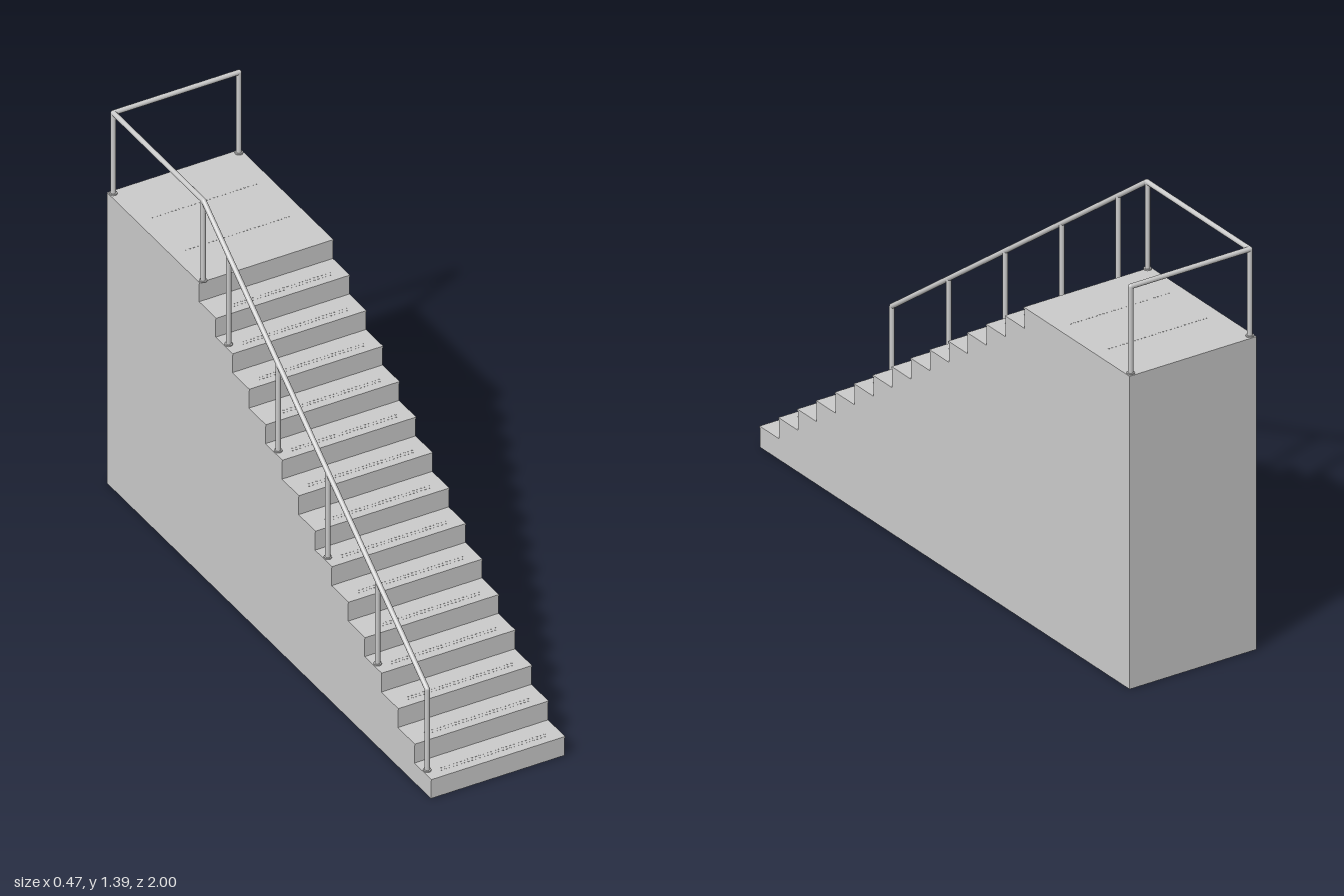
import * as THREE from 'three';
import { mergeGeometries } from 'three/addons/utils/BufferGeometryUtils.js';

const WIDTH = 0.475, RISE = 0.072, RUN = 0.102, STEPS = 14;
const LANDING_Y = RISE * (STEPS + 1), LANDING_Z = 1 - RUN * STEPS;
const RAIL_X = 0.223, RAIL_TOP = 1.38, BACK_Z = -0.985, R = 0.0085;

export function createModel() {
  const model = new THREE.Group();
  model.name = 'staircase';
  const material = new THREE.MeshStandardMaterial({ color: 0xcccccc });

  const add = (name, geometry, parent = model) => {
    const mesh = new THREE.Mesh(geometry, material);
    mesh.name = name;
    parent.add(mesh);
    return mesh;
  };
  const box = (w, h, d, x, y, z) => new THREE.BoxGeometry(w, h, d).translate(x, y, z);

  // Solid stepped body: side profile (z, y) extruded across the width
  const profile = new THREE.Shape();
  profile.moveTo(-1, 0);
  profile.lineTo(0.997, 0);
  for (let i = 0; i <= STEPS; i++) {
    const z = 0.997 - i * RUN;
    profile.lineTo(z, i * RISE + RISE);
    if (i < STEPS) profile.lineTo(z - RUN, i * RISE + RISE);
  }
  profile.lineTo(-1, LANDING_Y);
  profile.closePath();
  const body = new THREE.ExtrudeGeometry(profile, { depth: WIDTH, bevelEnabled: false });
  body.rotateY(-Math.PI / 2).translate(WIDTH / 2, 0, 0);
  // the turn maps profile x to +z and the extrusion to -x
  add('stairBody', body);

  // Thin nosing on the front edge of every tread and the landing
  const nosings = [], grips = [];
  const gripRow = (y, z, count, shift = 0) => {
    for (let k = 0; k < count; k++) {
      const x = -0.19 + (0.38 * (k + 0.5 + shift)) / count;
      grips.push(box(0.005, 0.001, 0.003, x, y + 0.0004, z));
    }
  };
  for (let i = 0; i <= STEPS; i++) {
    const y = (i + 1) * RISE, z = 1 - i * RUN;
    nosings.push(box(WIDTH, 0.006, 0.008, 0, y - 0.003, z - 0.004));
    // Two staggered rows of small grip studs per tread
    if (i < STEPS) {
      gripRow(y, z - 0.03, 28);
      gripRow(y, z - 0.042, 28, 0.4);
    }
  }
  // Grip rows on the landing
  gripRow(LANDING_Y, -0.605, 28);
  gripRow(LANDING_Y, -0.81, 28);
  add('treadNosings', mergeGeometries(nosings));
  add('gripStuds', mergeGeometries(grips));

  // Handrail along the right edge and the back of the landing
  const railing = new THREE.Group();
  railing.name = 'railing';
  model.add(railing);

  const tube = (name, a, b) => {
    const dir = new THREE.Vector3().subVectors(b, a);
    const mesh = add(name, new THREE.CylinderGeometry(R, R, dir.length(), 12), railing);
    mesh.position.copy(a).addScaledVector(dir, 0.5);
    mesh.quaternion.setFromUnitVectors(new THREE.Vector3(0, 1, 0), dir.normalize());
  };

  const corners = [
    new THREE.Vector3(-RAIL_X, 0.374, 0.949),
    new THREE.Vector3(-RAIL_X, RAIL_TOP, LANDING_Z),
    new THREE.Vector3(-RAIL_X, RAIL_TOP, BACK_Z),
    new THREE.Vector3(RAIL_X, RAIL_TOP, BACK_Z),
  ];
  ['slopedRail', 'landingRail', 'backRail'].forEach((name, i) => tube(name, corners[i], corners[i + 1]));
  corners.forEach((p) => {
    add('railJoint', new THREE.SphereGeometry(R, 12, 8), railing).position.copy(p);
  });

  // Posts with small round foot plates
  const post = (x, z, bottom, top) => {
    tube('post', new THREE.Vector3(x, bottom, z), new THREE.Vector3(x, top, z));
    const foot = add('postFoot', new THREE.CylinderGeometry(0.013, 0.013, 0.004, 12), railing);
    foot.position.set(x, bottom + 0.002, z);
  };
  for (let i = 0; i < 5; i++) {
    const z = 0.949 - i * 3 * RUN;
    const t = (0.949 - z) / (0.949 - LANDING_Z);
    post(-RAIL_X, z, RISE * (1 + 3 * i), THREE.MathUtils.lerp(0.374, RAIL_TOP, t));
  }
  post(-RAIL_X, LANDING_Z - 0.004, LANDING_Y, RAIL_TOP);
  post(-RAIL_X, BACK_Z, LANDING_Y, RAIL_TOP);
  post(RAIL_X, BACK_Z, LANDING_Y, RAIL_TOP);

  return model;
}
